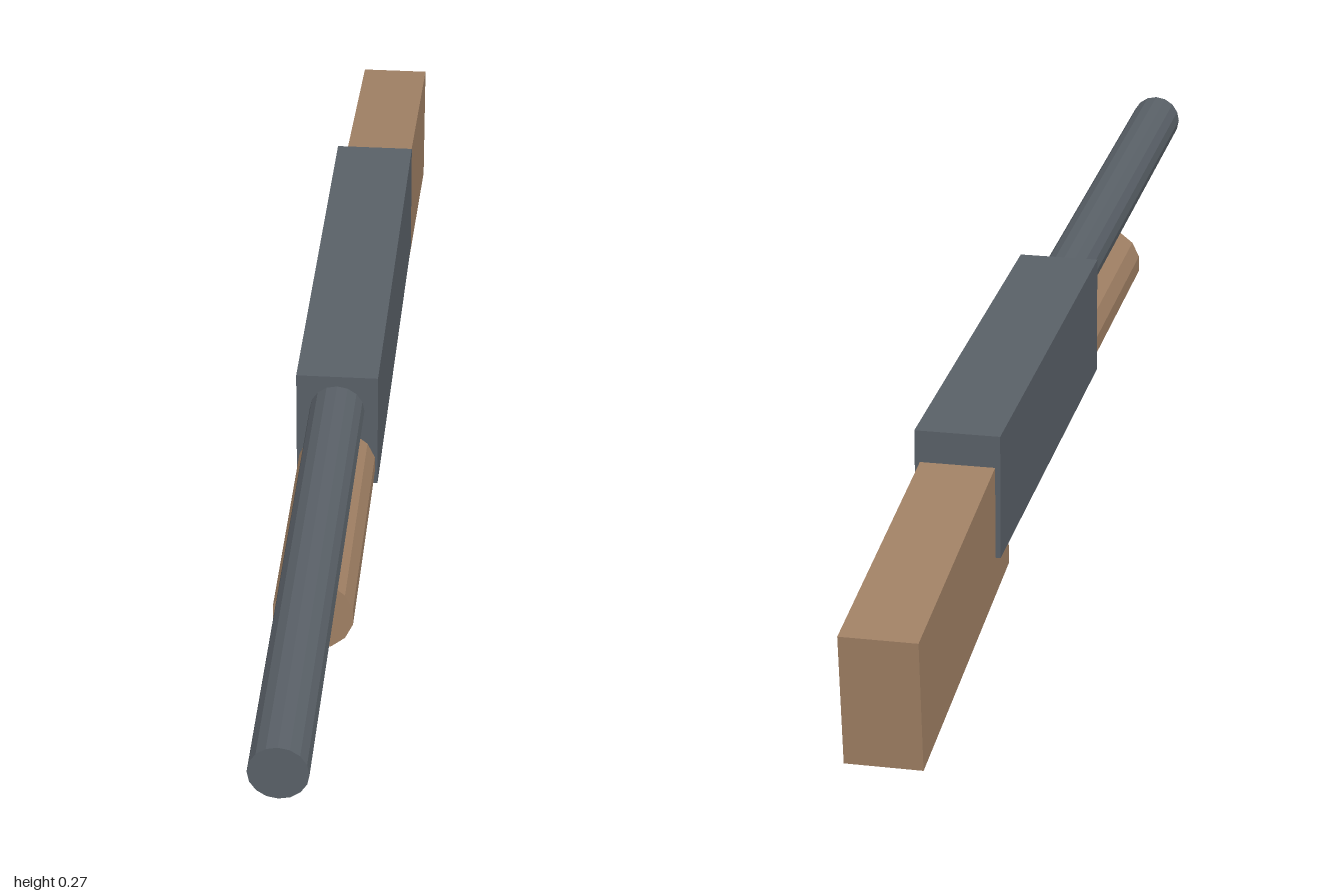
import * as THREE from 'three';

export function createModel() {
  const model = new THREE.Group();
  const metal = new THREE.MeshStandardMaterial({ color: 0x596067, flatShading: true });
  metal.name = 'slate metal';
  const wood = new THREE.MeshStandardMaterial({ color: 0xa08064, flatShading: true });
  wood.name = 'brown wood';

  const add = (name, geometry, material, y, z) => {
    const mesh = new THREE.Mesh(geometry, material);
    mesh.name = name;
    mesh.position.set(0, y, z);
    model.add(mesh);
    return mesh;
  };

  // Cylinder lying along z between two ends
  const rod = (name, radius, sides, material, y, back, front) =>
    add(name, new THREE.CylinderGeometry(radius, radius, front - back, sides).rotateX(Math.PI / 2),
      material, y, (front + back) / 2);

  // Central block
  add('receiver', new THREE.BoxGeometry(0.116, 0.175, 0.697), metal, 0.186, -0.202);

  // Long tube and the grip beneath it, both seated in the block
  rod('barrel', 0.039, 16, metal, 0.219, 0.1, 1);
  rod('foreGrip', 0.0555, 14, wood, 0.13, 0.115, 0.53);

  // Stock, sloping down towards the back
  const stock = add('stock', new THREE.BoxGeometry(0.102, 0.184, 0.522), wood, 0.118, -0.731);
  stock.rotation.x = -0.1;

  return model;
}
